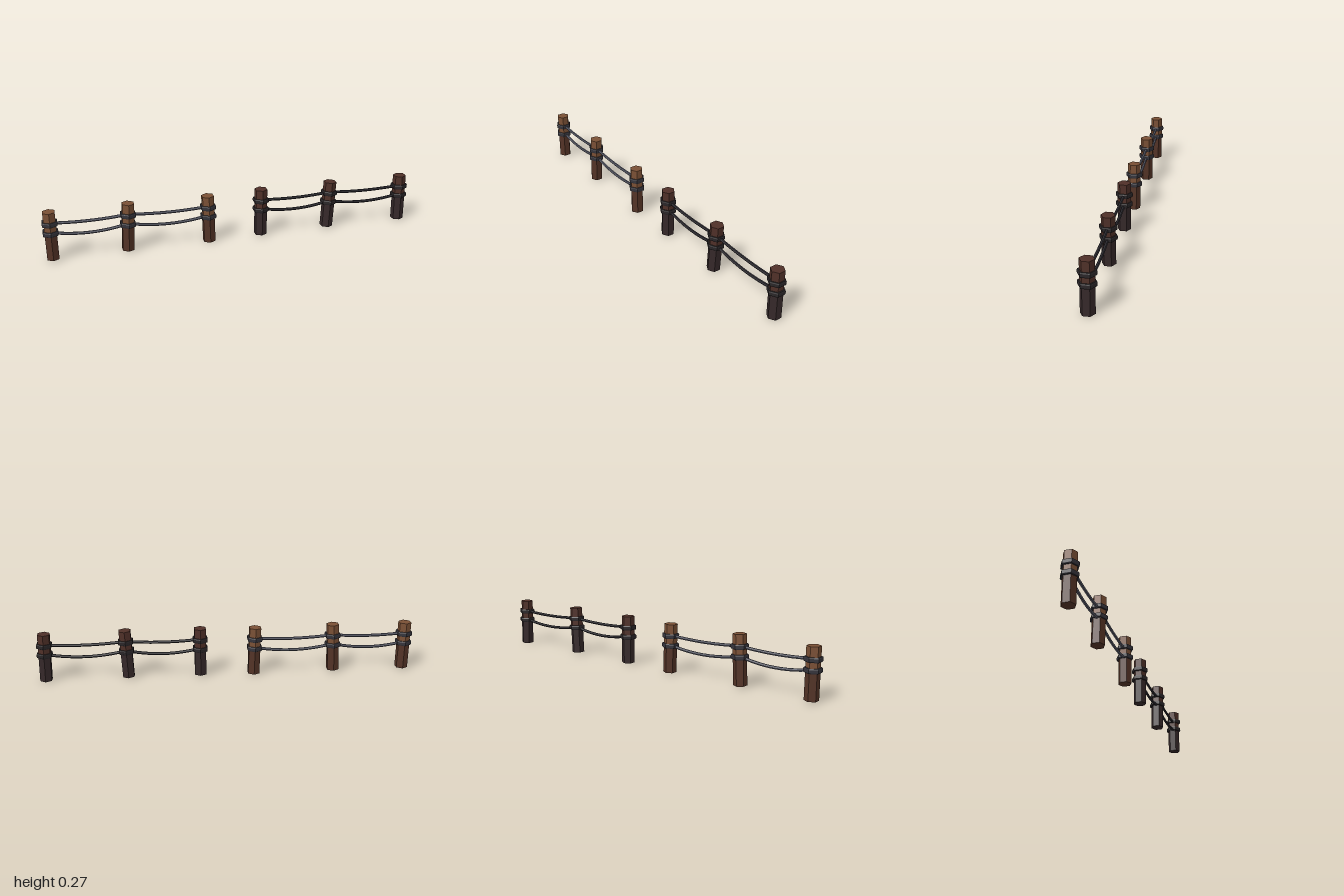
import * as THREE from 'three';

const paint = (name, color) => {
  const m = new THREE.MeshStandardMaterial({ color, flatShading: true });
  m.name = name;
  return m;
};

const POST_R = 0.035, POST_H = 0.26, SPLIT = 0.146;
const RING_HEIGHTS = [0.146, 0.198];
const SAGS = [0.024, 0.01];

// x within a section, height of the base, lean to the +x side
const POSTS = [
  { x: -0.413, y: 0.006, lean: 0 },
  { x: -0.028, y: 0.007, lean: 0.045 },
  { x: 0.409, y: 0.001, lean: -0.025 },
];

function addMesh(parent, name, geometry, material, y = 0) {
  const mesh = new THREE.Mesh(geometry, material);
  mesh.name = name;
  mesh.position.y = y;
  parent.add(mesh);
}

// Six-sided band with chamfered edges
function bandGeometry() {
  const profile = [[0.03, -0.012], [0.042, -0.012], [0.0445, -0.007],
    [0.0445, 0.007], [0.042, 0.012], [0.03, 0.012]];
  return new THREE.LatheGeometry(profile.map(([r, y]) => new THREE.Vector2(r, y)), 6);
}

function makePost({ x, y, lean }, mats) {
  const post = new THREE.Group();
  post.name = 'post';
  post.position.set(x, y, 0);
  post.rotation.z = -lean;
  const topH = POST_H - SPLIT;
  addMesh(post, 'postLower', new THREE.CylinderGeometry(POST_R, POST_R, SPLIT, 6), mats.lower, SPLIT / 2);
  addMesh(post, 'postUpper', new THREE.CylinderGeometry(POST_R, POST_R, topH, 6), mats.upper, SPLIT + topH / 2);
  for (const h of RING_HEIGHTS) addMesh(post, 'ropeBand', bandGeometry(), mats.band, h);
  return post;
}

// Point on a post's axis at a given height along it
const onPost = (p, h) =>
  new THREE.Vector3(p.x + Math.sin(p.lean) * h, p.y + Math.cos(p.lean) * h, 0);

function makeSection(name, x, mats) {
  const section = new THREE.Group();
  section.name = name;
  section.position.x = x;
  for (const p of POSTS) section.add(makePost(p, mats));

  // Sagging ropes between neighbouring posts
  for (let i = 0; i < POSTS.length - 1; i++) {
    RING_HEIGHTS.forEach((h, k) => {
      const a = onPost(POSTS[i], h), b = onPost(POSTS[i + 1], h);
      const mid = a.clone().add(b).multiplyScalar(0.5);
      mid.y -= SAGS[k] * 2;
      const curve = new THREE.QuadraticBezierCurve3(a, mid, b);
      addMesh(section, 'rope', new THREE.TubeGeometry(curve, 12, 0.008, 6), mats.rope);
    });
  }
  return section;
}

export function createModel() {
  const model = new THREE.Group();
  model.name = 'ropeFence';
  model.add(makeSection('lightSection', -0.555, {
    upper: paint('light wood', 0x7a5035),
    lower: paint('light wood base', 0x533326),
    band: paint('light band', 0x35343b),
    rope: paint('grey rope', 0x5c5e6c),
  }));
  model.add(makeSection('darkSection', 0.555, {
    upper: paint('dark wood', 0x4f3028),
    lower: paint('dark wood base', 0x352829),
    band: paint('dark band', 0x2a2628),
    rope: paint('dark rope', 0x2f2d33),
  }));
  return model;
}
